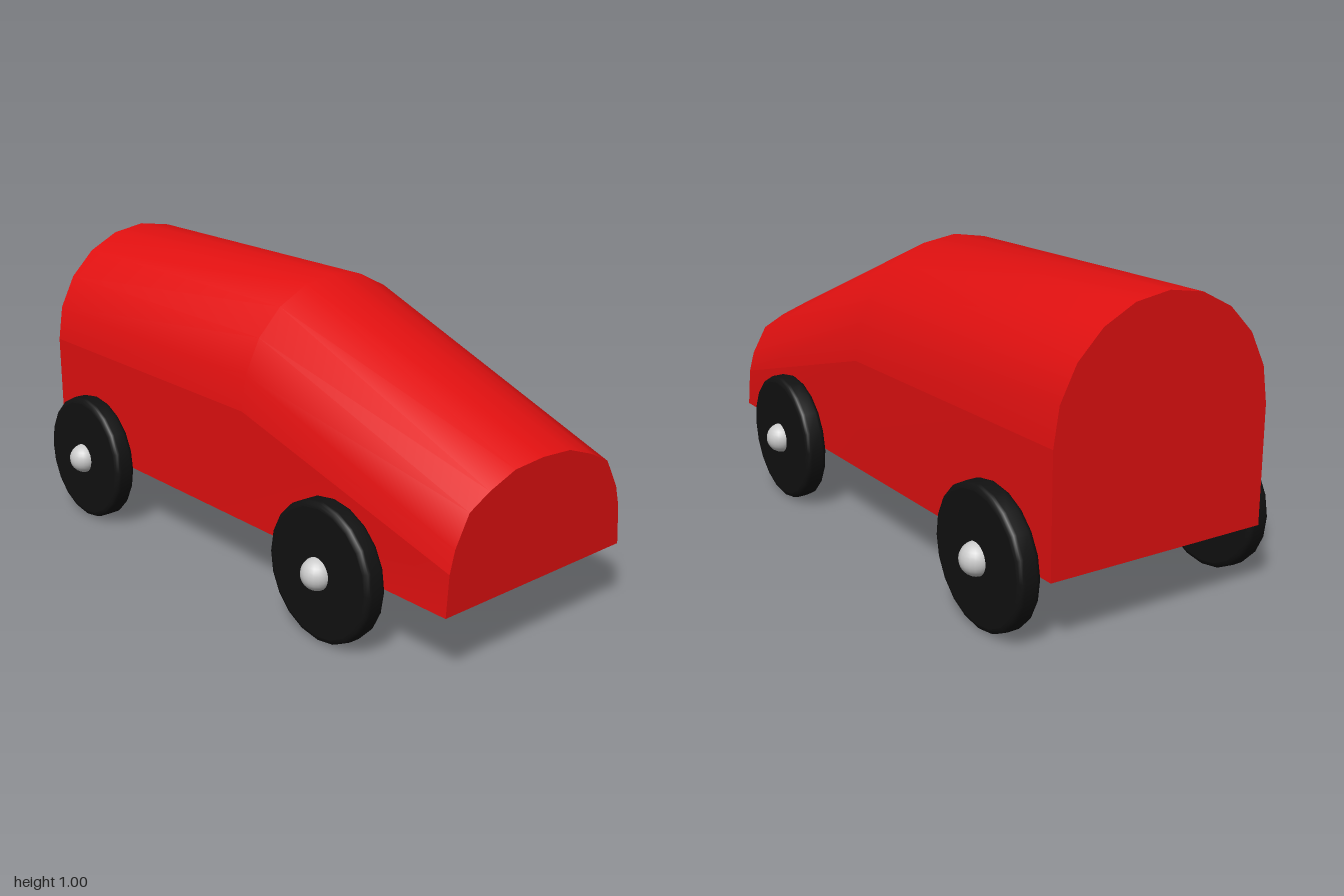
import * as THREE from 'three';

const BASE = 0.23, HALF = 0.387;

// Arched roof section, listed from +z over the top to -z as [z, y]
function arch(centreY, radius) {
  const pts = [];
  for (let i = 0; i <= 10; i++) {
    const a = (i / 10) * Math.PI;
    pts.push([radius * Math.cos(a), centreY + radius * Math.sin(a)]);
  }
  return pts;
}

// Low section at the nose, mirrored from one half
function noseArch() {
  const half = [[0.377, 0.36], [0.358, 0.43], [0.305, 0.525], [0.225, 0.567], [0.12, 0.605]];
  return [...half, [0, 0.613], ...half.map(([z, y]) => [-z, y]).reverse()];
}

// Skin a strip between matching sections, each { x, pts }
function loft(sections) {
  const n = sections[0].pts.length, pos = [], idx = [];
  for (const { x, pts } of sections) for (const [z, y] of pts) pos.push(x, y, z);
  for (let s = 0; s < sections.length - 1; s++) {
    for (let i = 0; i < n - 1; i++) {
      const a = s * n + i, b = a + n;
      idx.push(a, b, b + 1, a, b + 1, a + 1);
    }
  }
  const g = new THREE.BufferGeometry();
  g.setAttribute('position', new THREE.Float32BufferAttribute(pos, 3));
  g.setIndex(idx);
  g.computeVertexNormals();
  return g;
}

// Flat panel closing one end of the body
function endCap({ x, pts }, side) {
  const outline = [[HALF, BASE], ...pts, [-HALF, BASE]];
  const shape = new THREE.Shape(outline.map(([z, y]) => new THREE.Vector2(-side * z, y)));
  return new THREE.ShapeGeometry(shape).rotateY(side * Math.PI / 2).translate(x, 0, 0);
}

export function createModel() {
  const model = new THREE.Group();
  model.name = 'toyCar';
  const red = new THREE.MeshStandardMaterial({ color: 0xe01010 });
  const black = new THREE.MeshStandardMaterial({ color: 0x111111 });
  const grey = new THREE.MeshStandardMaterial({ color: 0xcccccc });

  const add = (parent, name, geometry, material) => {
    const mesh = new THREE.Mesh(geometry, material);
    mesh.name = name;
    parent.add(mesh);
    return mesh;
  };

  // Body: straight arched cabin, then a bonnet sloping to the nose
  const body = new THREE.Group();
  body.name = 'body';
  model.add(body);
  const sections = [
    { x: -1, pts: arch(0.613, HALF) },
    { x: 0.1, pts: arch(0.606, HALF) },
    { x: 1, pts: noseArch() },
  ];
  const strip = (pick) => loft(sections.map(({ x, pts }) => ({ x, pts: pick(pts) })));
  add(body, 'roof', strip((p) => p), red);
  add(body, 'leftSide', strip((p) => [[HALF, BASE], p[0]]), red);
  add(body, 'rightSide', strip((p) => [p[10], [-HALF, BASE]]), red);
  add(body, 'floor', strip(() => [[-HALF, BASE], [HALF, BASE]]), red);
  add(body, 'backPanel', endCap(sections[0], -1), red);
  add(body, 'nosePanel', endCap(sections[2], 1), red);

  // Wheel: disc with rounded rims, axis along z
  const R = 0.224, T = 0.037, B = 0.018;
  const profile = [[0, -T], [R - B, -T], [R - B, -T]];
  for (const s of [-1, 1]) {
    for (let i = 0; i <= 3; i++) {
      const a = (s < 0 ? i - 3 : i) / 3 * Math.PI / 2;
      profile.push([R - B + B * Math.cos(a), s * (T - B) + B * Math.sin(a)]);
    }
  }
  profile.push([R - B, T], [0, T]);
  const wheelGeo = new THREE.LatheGeometry(profile.map(([r, y]) => new THREE.Vector2(r, y)), 20)
    .rotateX(Math.PI / 2);
  const hubGeo = new THREE.SphereGeometry(0.052, 20, 14);

  for (const [end, x] of [['back', -0.745], ['front', 0.547]]) {
    for (const [side, s] of [['Left', 1], ['Right', -1]]) {
      const wheel = add(model, `${end}${side}Wheel`, wheelGeo, black);
      wheel.position.set(x, 0.229, s * 0.428);
      wheel.rotation.x = -0.02; // slight lean
      const hub = add(model, `${end}${side}Hub`, hubGeo, grey);
      hub.position.set(x, 0.229, s * 0.462);
    }
  }
  return model;
}
